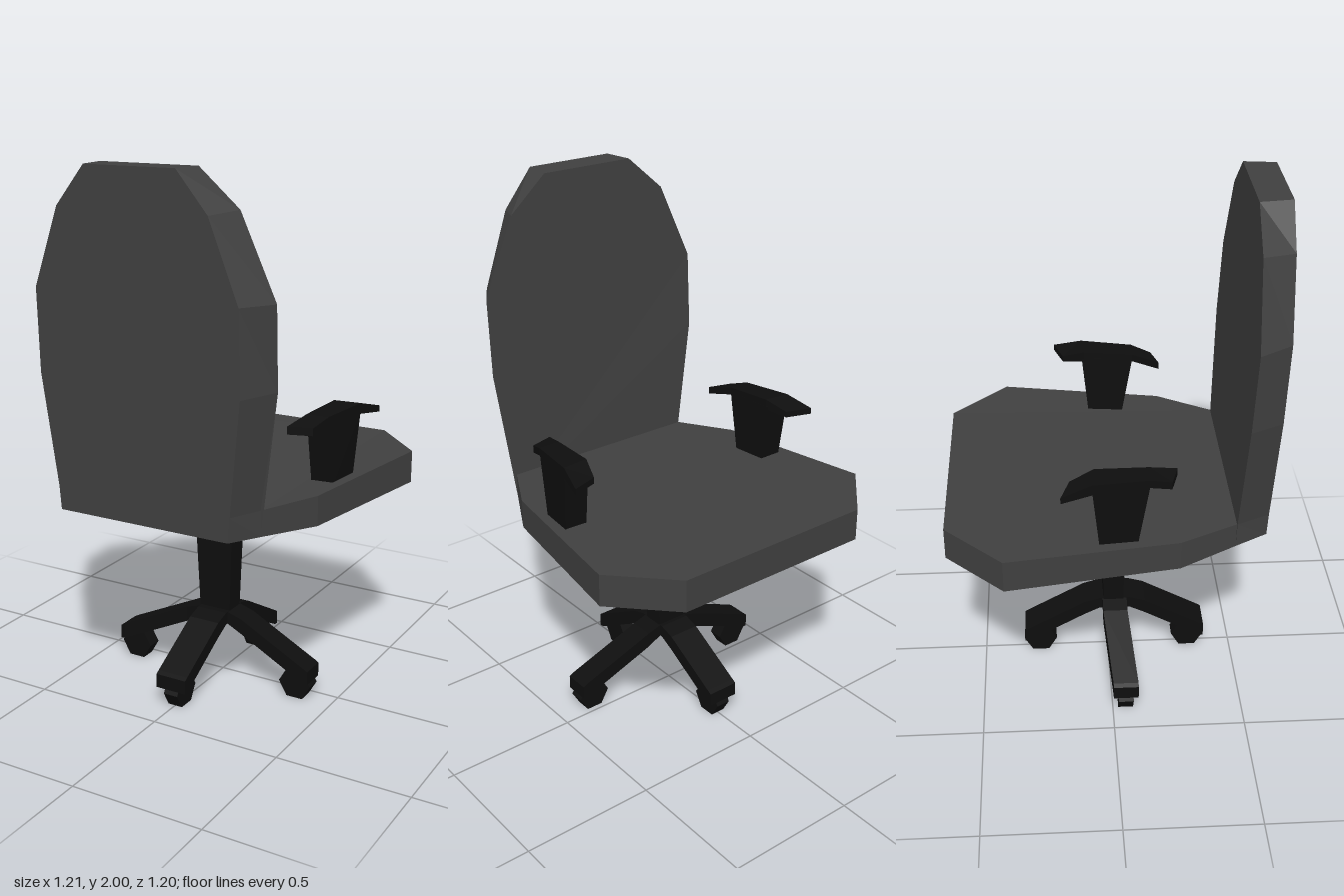
import * as THREE from 'three';

const fabric = new THREE.MeshStandardMaterial({ color: 0x404040, flatShading: true });
const plastic = new THREE.MeshStandardMaterial({ color: 0x0e0e0e, flatShading: true });

// Joins convex cross-sections (rings of equal point count) into a closed solid.
function loft(name, rings, material) {
  const tris = [];
  const n = rings[0].length;
  const last = rings.length - 1;
  for (let r = 0; r < last; r++) {
    for (let i = 0; i < n; i++) {
      const j = (i + 1) % n;
      const [a, b, c, d] = [rings[r][i], rings[r][j], rings[r + 1][j], rings[r + 1][i]];
      tris.push([a, b, c], [a, c, d]);
    }
  }
  for (let i = 1; i < n - 1; i++) {
    tris.push([rings[0][0], rings[0][i + 1], rings[0][i]]);
    tris.push([rings[last][0], rings[last][i], rings[last][i + 1]]);
  }
  // Turn every face outward, whichever way the rings run
  const v = (p) => new THREE.Vector3(...p);
  const origin = v(rings[0][0]);
  let volume = 0;
  for (const [a, b, c] of tris) {
    volume += v(a).sub(origin).dot(v(b).sub(origin).cross(v(c).sub(origin)));
  }
  if (volume < 0) tris.forEach((t) => t.reverse());
  const geometry = new THREE.BufferGeometry();
  geometry.setAttribute('position', new THREE.Float32BufferAttribute(tris.flat(2), 3));
  geometry.computeVertexNormals();
  const mesh = new THREE.Mesh(geometry, material);
  mesh.name = name;
  return mesh;
}

// Closes a half outline by mirroring it across x = 0.
const mirrored = (half) => [...half, ...half.map(([x, y, z]) => [-x, y, z]).reverse()];

// Horizontal rectangle
const rect = (cx, y, cz, hx, hz) => [
  [cx - hx, y, cz - hz], [cx + hx, y, cz - hz], [cx + hx, y, cz + hz], [cx - hx, y, cz + hz],
];

function makeSeat() {
  // x, z, bottom y, top y
  const half = [
    [0.40, -0.60, 0.765, 0.888], [0.604, -0.39, 0.765, 0.888],
    [0.51, 0.23, 0.767, 0.878], [0.40, 0.44, 0.775, 0.87],
  ];
  return loft('seat', [
    mirrored(half.map(([x, z, y]) => [x, y, z])),
    mirrored(half.map(([x, z, , y]) => [x, y, z])),
  ], fabric);
}

function makeBackrest() {
  const front = [
    [0.40, 0.775, 0.44], [0.40, 0.87, 0.442], [0.468, 1.29, 0.457],
    [0.468, 1.58, 0.47], [0.34, 1.87, 0.48], [0.19, 2.0, 0.483],
  ];
  const rear = [
    [0.34, 0.78, 0.56], [0.345, 0.87, 0.563], [0.395, 1.28, 0.578],
    [0.395, 1.58, 0.588], [0.29, 1.86, 0.597], [0.175, 2.0, 0.60],
  ];
  return loft('backrest', [mirrored(front), mirrored(rear)], fabric);
}

function makeArmrest(side) {
  const arm = new THREE.Group();
  arm.name = side > 0 ? 'leftArmrest' : 'rightArmrest';
  // Pad: outer x, outer z, inner x, inner z, top y, bottom y
  const pad = [
    [0.55, -0.188, 0.45, -0.155, 1.108, 1.085],
    [0.523, -0.08, 0.422, -0.07, 1.138, 1.098],
    [0.492, 0.12, 0.408, 0.12, 1.13, 1.10],
    [0.47, 0.197, 0.382, 0.223, 1.105, 1.077],
  ].map(([xo, zo, xi, zi, t, b]) => [
    [side * xo, b, zo], [side * xi, b, zi], [side * xi, t, zi], [side * xo, t, zo],
  ]);
  arm.add(loft('armPad', pad, plastic));
  // Post, wider at the top
  const post = [
    [0.87, 0.51, 0.42, -0.055, 0.495, 0.41, 0.08],
    [1.11, 0.523, 0.422, -0.08, 0.492, 0.408, 0.12],
  ].map(([y, fo, fi, zf, ro, ri, zr]) => [
    [side * fo, y, zf], [side * fi, y, zf], [side * ri, y, zr], [side * ro, y, zr],
  ]);
  arm.add(loft('armPost', post, plastic));
  return arm;
}

// One spoke of the base with its six-sided caster, built along +x
function makeSpoke(reach, halfWidth, skew) {
  const spoke = new THREE.Group();
  spoke.name = 'baseSpoke';
  // distance, top y, bottom y, sideways shift
  const rings = [
    [0, 0.283, 0.235, 0], [0.06, 0.283, 0.235, 0], [0.12, 0.265, 0.205, 0],
    [reach - 0.015, 0.137, 0.075, skew], [reach, 0.128, 0.075, skew],
  ].map(([x, t, b, s]) => [
    [x, b, s - halfWidth], [x, b, s + halfWidth], [x, t, s + halfWidth], [x, t, s - halfWidth],
  ]);
  spoke.add(loft('spokeArm', rings, plastic));
  const wheel = new THREE.Mesh(new THREE.CylinderGeometry(0.065, 0.065, 0.058, 6), plastic);
  wheel.name = 'caster';
  wheel.geometry.rotateY(Math.PI / 6 + Math.PI / 3).rotateX(Math.PI / 2);
  wheel.position.set(reach - 0.062, 0.058, skew);
  spoke.add(wheel);
  return spoke;
}

export function createModel() {
  const chair = new THREE.Group();
  chair.name = 'officeChair';
  chair.add(makeSeat(), makeBackrest(), makeArmrest(1), makeArmrest(-1));

  // Shallow tapered mount under the seat, and the column
  chair.add(loft('seatMount', [
    rect(0, 0.77, 0.01, 0.40, 0.225), rect(-0.004, 0.70, 0.02, 0.085, 0.046),
  ], fabric));
  chair.add(loft('column', [
    rect(-0.004, 0.72, 0.02, 0.083, 0.046), rect(-0.002, 0.24, 0.02, 0.063, 0.039),
  ], plastic));

  // Four-spoke base
  const base = new THREE.Group();
  base.name = 'base';
  for (let i = 0; i < 4; i++) {
    const sideways = i % 2 === 0;
    const skew = [0.025, 0, -0.025, 0][i];
    const spoke = makeSpoke(sideways ? 0.417 : 0.362, sideways ? 0.048 : 0.062, skew);
    spoke.rotation.y = (i * Math.PI) / 2;
    base.add(spoke);
  }
  base.position.z = 0.025;
  chair.add(base);
  return chair;
}
